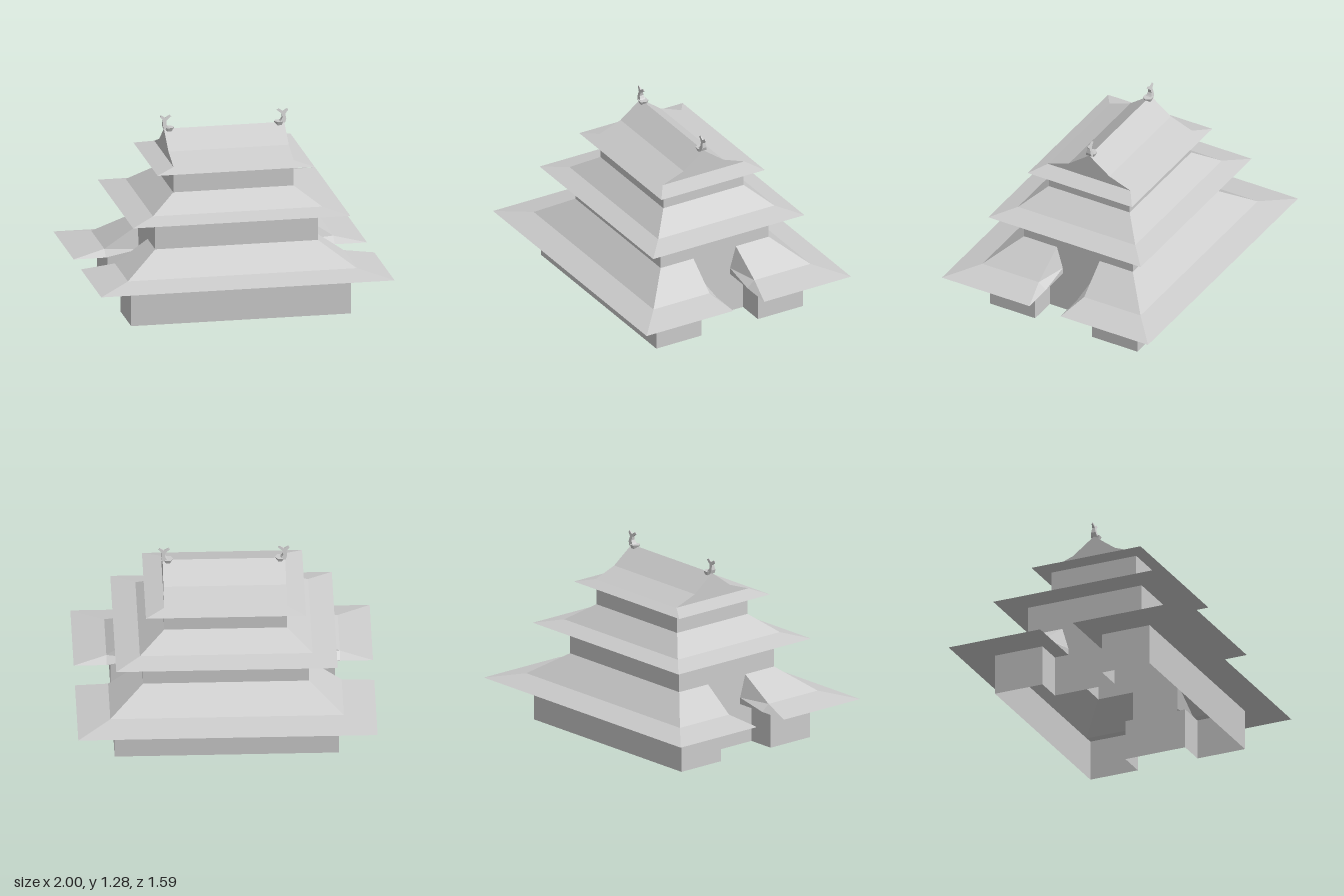
import * as THREE from 'three';

const material = new THREE.MeshStandardMaterial({ color: 0xcccccc, flatShading: true, side: THREE.DoubleSide });

// Builds a mesh from convex faces of the +x +z quarter, mirrored to all four quarters
function quarterMesh(name, faces) {
  const pos = [];
  for (const sx of [1, -1]) for (const sz of [1, -1]) {
    for (const face of faces) {
      const p = face.map(([x, y, z]) => [x * sx, y, z * sz]);
      if (sx * sz < 0) p.reverse();
      for (let i = 1; i < p.length - 1; i++) pos.push(...p[0], ...p[i], ...p[i + 1]);
    }
  }
  const g = new THREE.BufferGeometry();
  g.setAttribute('position', new THREE.Float32BufferAttribute(pos, 3));
  g.computeVertexNormals();
  const mesh = new THREE.Mesh(g, material);
  mesh.name = name;
  return mesh;
}

// Front and side faces between two rectangles [x, y, z]; e0, e1 are where the side stops in z
function band([x0, y0, z0], [x1, y1, z1], e0 = 0, e1 = e0) {
  return [
    [[0, y0, z0], [x0, y0, z0], [x1, y1, z1], [0, y1, z1]],
    [[x0, y0, z0], [x0, y0, e0], [x1, y1, e1], [x1, y1, z1]],
  ];
}

// Ridge ornament: a curved forked tail standing on a faceted head, facing -x
function ridgeOrnament() {
  const group = new THREE.Group();
  const head = new THREE.Mesh(new THREE.CylinderGeometry(0.036, 0.022, 0.034, 6), material);
  head.name = 'ornamentHead';
  head.rotation.y = Math.PI / 2;
  head.position.set(0.375, 1.183, 0);
  const outline = [
    [0.37, 1.19], [0.412, 1.19], [0.421, 1.215], [0.416, 1.25], [0.437, 1.272], [0.43, 1.285],
    [0.402, 1.266], [0.372, 1.285], [0.36, 1.275], [0.392, 1.25], [0.396, 1.225], [0.386, 1.208],
  ].map(([x, y]) => new THREE.Vector2(x, y));
  const g = new THREE.ExtrudeGeometry(new THREE.Shape(outline), { depth: 2, bevelEnabled: false });
  g.translate(0, 0, -1);
  const p = g.attributes.position;
  for (let i = 0; i < p.count; i++) { // thin the body towards the tail
    const t = Math.max(0, (1.285 - p.getY(i)) / 0.095);
    p.setZ(i, p.getZ(i) * (0.002 + 0.02 * t));
  }
  g.computeVertexNormals();
  const tail = new THREE.Mesh(g, material);
  tail.name = 'ornamentTail';
  group.add(head, tail);
  return group;
}

export function createModel() {
  const model = new THREE.Group();
  model.name = 'castleTower';
  const W = 0.555; // half width of the middle storey and of the recessed side walls

  // Ground storey with a recess in each side
  model.add(quarterMesh('lowerWalls', [
    ...band([0.75, 0, 0.57], [0.75, 0.28, 0.57], 0.22),
    [[0.75, 0, 0.22], [W, 0, 0.22], [W, 0.28, 0.22], [0.75, 0.28, 0.22]],
    [[W, 0, 0.22], [W, 0, 0], [W, 0.28, 0], [W, 0.28, 0.22]],
    [[W, 0.28, 0.165], [W, 0.28, 0], [W, 0.48, 0], [W, 0.48, 0.165]],
  ]));

  // Lower roof, cut through on both sides
  const A = [W, 0.48, 0.165], B = [0.78, 0.325, 0.175], C = [1, 0.28, 0.12];
  const D = [0.78, 0.28, 0.12], E = [W, 0.325, 0.12], F = [W, 0.28, 0.12];
  model.add(quarterMesh('lowerRoof', [
    ...band([1, 0.28, 0.795], [0.78, 0.325, 0.61], 0.12, 0.175),
    ...band([0.78, 0.325, 0.61], [W, 0.48, 0.42], 0.175, 0.165),
    ...band([0.75, 0.28, 0.57], [1, 0.28, 0.795], 0.22, 0.12),
    [[W, 0.28, 0.22], F, C, [0.75, 0.28, 0.22]],
    [A, B, E], [B, D, E], [B, C, D], [E, D, F],
  ]));

  // Middle storey and roof
  model.add(quarterMesh('middleWalls', band([W, 0.48, 0.42], [W, 0.685, 0.42])));
  model.add(quarterMesh('middleRoof', [
    ...band([0.74, 0.685, 0.588], [0.577, 0.72, 0.452]),
    ...band([0.577, 0.72, 0.452], [0.41, 0.837, 0.312]),
    ...band([W, 0.685, 0.42], [0.74, 0.685, 0.588]),
  ]));

  // Top storey and hip-and-gable roof
  model.add(quarterMesh('upperWalls', band([0.41, 0.837, 0.312], [0.41, 0.985, 0.312])));
  const G = 0.41;
  model.add(quarterMesh('upperRoof', [
    ...band([0.535, 0.985, 0.402], [G, 1.015, 0.318]),
    ...band([G, 0.985, 0.312], [0.535, 0.985, 0.402]),
    [[0, 1.015, 0.318], [G, 1.015, 0.318], [G, 1.075, 0.155], [0, 1.075, 0.155]],
    [[0, 1.075, 0.155], [G, 1.075, 0.155], [G, 1.19, 0], [0, 1.19, 0]],
  ]));
  model.add(quarterMesh('gables', [
    [[G, 1.015, 0.318], [G, 1.015, 0], [G, 1.075, 0], [G, 1.075, 0.155]],
    [[G, 1.075, 0.155], [G, 1.075, 0], [G, 1.19, 0]],
  ]));

  // Ornaments at both ends of the ridge
  for (const side of ['left', 'right']) {
    const ornament = ridgeOrnament();
    ornament.name = side + 'RidgeOrnament';
    if (side === 'right') ornament.rotation.y = Math.PI;
    model.add(ornament);
  }
  return model;
}
